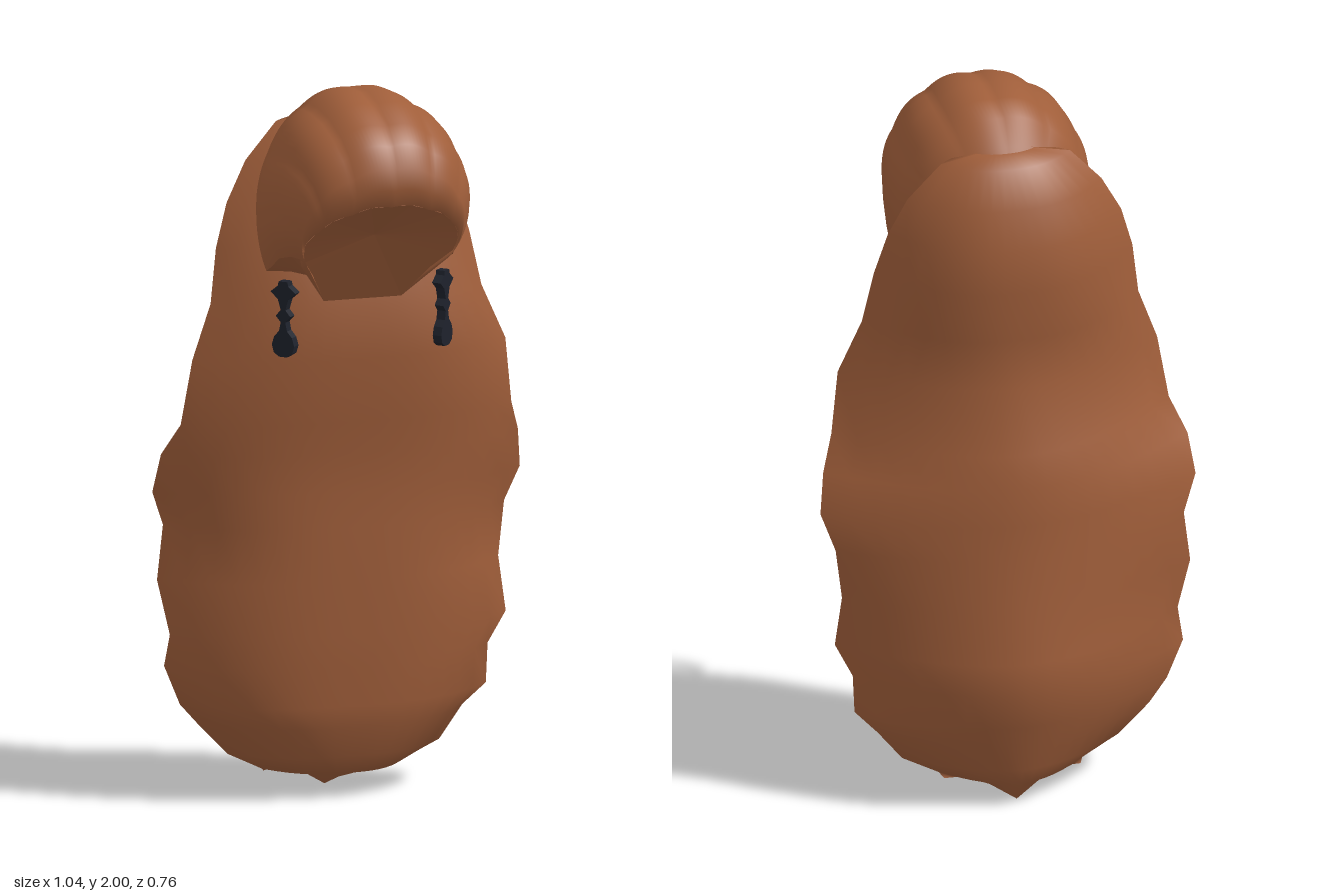
import * as THREE from 'three';

// Grid surface from rows of points; rows run downward/forward, columns left to right
function sheet(rows) {
  const n = rows[0].length, index = [];
  for (let i = 0; i < rows.length - 1; i++) {
    for (let j = 0; j < n - 1; j++) {
      const a = i * n + j, b = a + n;
      index.push(a, b, b + 1, a, b + 1, a + 1);
    }
  }
  const g = new THREE.BufferGeometry();
  g.setAttribute('position', new THREE.Float32BufferAttribute(rows.flat(2), 3));
  g.setIndex(index);
  g.computeVertexNormals();
  return g;
}

// Long hair sections: y, left edge, right edge, front z, edge z, back z
const LONG = [
  [1.90, -0.08, 0.08, -0.08, -0.11, -0.13],
  [1.88, -0.18, 0.18, -0.05, -0.11, -0.19],
  [1.78, -0.27, 0.27, 0.00, -0.10, -0.24],
  [1.67, -0.33, 0.32, 0.02, -0.08, -0.27],
  [1.55, -0.365, 0.355, 0.05, -0.065, -0.283],
  [1.40, -0.385, 0.385, 0.09, -0.05, -0.265],
  [1.25, -0.44, 0.45, 0.09, -0.04, -0.26],
  [1.07, -0.47, 0.47, 0.065, -0.05, -0.31],
  [0.98, -0.51, 0.505, 0.05, -0.10, -0.33],
  [0.87, -0.525, 0.52, 0.04, -0.13, -0.335],
  [0.77, -0.485, 0.485, 0.04, -0.16, -0.34],
  [0.62, -0.505, 0.465, 0.035, -0.15, -0.355],
  [0.47, -0.475, 0.48, 0.03, -0.13, -0.375],
  [0.38, -0.485, 0.435, 0.025, -0.15, -0.385],
  [0.27, -0.44, 0.43, 0.015, -0.15, -0.355],
  [0.21, -0.385, 0.37, 0.01, -0.17, -0.335],
  [0.12, -0.30, 0.30, -0.03, -0.16, -0.31],
  [0.07, -0.20, 0.20, -0.05, -0.17, -0.29],
];

function longHair(back) {
  const N = 16;
  const rows = LONG.map(([y, l, r, zf, ze, zb]) => Array.from({ length: N + 1 }, (_, j) => {
    const u = -1 + 2 * j / N, k = Math.abs(u);
    const bulge = y > 1.3 ? 2.4 : 1.8;
    const z = back ? ze + (zb - ze) * (1 - k ** bulge) : ze + (zf - ze) * (1 - k ** 2.8);
    return [u < 0 ? -u * l : u * r, y, z];
  }));
  // Ragged tip: a central point with a notch on each side
  rows.push(Array.from({ length: N + 1 }, (_, j) => {
    const u = -1 + 2 * j / N, k = Math.abs(u);
    return [u * 0.19, k < 0.6 ? 0.07 * k / 0.6 : 0.07 - 0.01 * (k - 0.6) / 0.4, -0.24 + 0.05 * k];
  }));
  if (back) rows.forEach(r => r.reverse());
  return sheet(rows);
}

// Crown sections, back to front: z, half width, centre y, height, side setback
const CROWN = [
  [-0.15, 0.15, 1.64, 0.21, -0.05],
  [-0.11, 0.22, 1.64, 0.27, -0.05],
  [-0.06, 0.26, 1.64, 0.335, -0.03],
  [0.02, 0.275, 1.645, 0.35, 0],
  [0.11, 0.285, 1.665, 0.335, 0.02],
  [0.20, 0.277, 1.685, 0.30, 0.06],
  [0.29, 0.262, 1.685, 0.26, 0.09],
  [0.34, 0.245, 1.67, 0.228, 0.11],
  [0.37, 0.23, 1.645, 0.193, 0.13],
  [0.38, 0.222, 1.62, 0.162, 0.145],
  [0.355, 0.22, 1.592, 0.14, 0.16],
];

function crownRows() {
  const N = 92, max = 115 * Math.PI / 180;
  return CROWN.map(([z, rx, yc, ry, set], i) => Array.from({ length: N + 1 }, (_, j) => {
    const t = -max + 2 * max * j / N;
    const fade = Math.min(1, i / 5);
    const lock = 1 + 0.04 * fade * (Math.abs(Math.sin(6 * t)) - 0.5) * Math.max(0.15, Math.cos(t));
    return [
      rx * lock * Math.sin(t),
      yc + ry * lock * Math.cos(t),
      z - set * (1 - Math.cos(t)) / 1.42,
    ];
  }));
}

// Hollow under the fringe: faceted fan from the rim to a point inside
function hollow(rim) {
  const loop = [...rim.filter((_, i) => i % 4 === 0), [0.11, 1.42, 0.095], [-0.11, 1.42, 0.095]];
  const apex = [0, 1.62, 0.2], pos = [];
  loop.forEach((p, i) => pos.push(...apex, ...loop[(i + 1) % loop.length], ...p));
  const g = new THREE.BufferGeometry();
  g.setAttribute('position', new THREE.Float32BufferAttribute(pos, 3));
  g.computeVertexNormals();
  return g;
}

// Underside strips closing the crown's lower edges against the long hair
function underside(rows) {
  const low = rows.slice(3);
  return sheet([
    low.map(r => r[0]),
    low.map((r, i) => [-0.11, 1.5 - 0.08 * i / (low.length - 1), 0.05 + 0.045 * i / (low.length - 1)]),
  ]);
}

// Flat drop earring: diamond, small diamond and rounded drop on a stem
function earringGeometry() {
  const half = [
    [0.013, 1.487], [0.016, 1.475], [0.038, 1.457], [0.016, 1.438], [0.012, 1.425],
    [0.007, 1.408], [0.022, 1.391], [0.007, 1.374], [0.012, 1.35], [0.027, 1.333],
    [0.034, 1.31], [0.028, 1.289], [0.012, 1.278],
  ];
  const pts = [...half, ...half.map(([x, y]) => [-x, y]).reverse()];
  const shape = new THREE.Shape(pts.map(([x, y]) => new THREE.Vector2(x, y)));
  const g = new THREE.ExtrudeGeometry(shape, { depth: 0.026, bevelEnabled: false });
  g.translate(0, 0, -0.013);
  return g;
}

export function createModel() {
  const model = new THREE.Group();
  const hair = new THREE.MeshStandardMaterial({ color: 0xa05e3a, side: THREE.DoubleSide });
  hair.name = 'chestnut hair';
  const dark = new THREE.MeshStandardMaterial({ color: 0x1e222c });
  dark.name = 'dark metal';

  const add = (name, geometry, material) => {
    const mesh = new THREE.Mesh(geometry, material);
    mesh.name = name;
    model.add(mesh);
    return mesh;
  };

  add('longHairFront', longHair(false), hair);
  add('longHairBack', longHair(true), hair);

  const rows = crownRows();
  add('crownHair', sheet(rows), hair);
  add('fringeHollow', hollow(rows[rows.length - 1]), hair);
  const strip = underside(rows);
  add('rightUnderside', strip, hair);
  add('leftUnderside', strip, hair).scale.x = -1;

  // Earrings turned outward on each side
  const earring = earringGeometry();
  for (const side of [-1, 1]) {
    const mesh = add(side > 0 ? 'leftEarring' : 'rightEarring', earring, dark);
    mesh.position.set(side * 0.224, 0, 0.108);
    mesh.rotation.y = side * Math.PI / 4;
  }
  return model;
}
